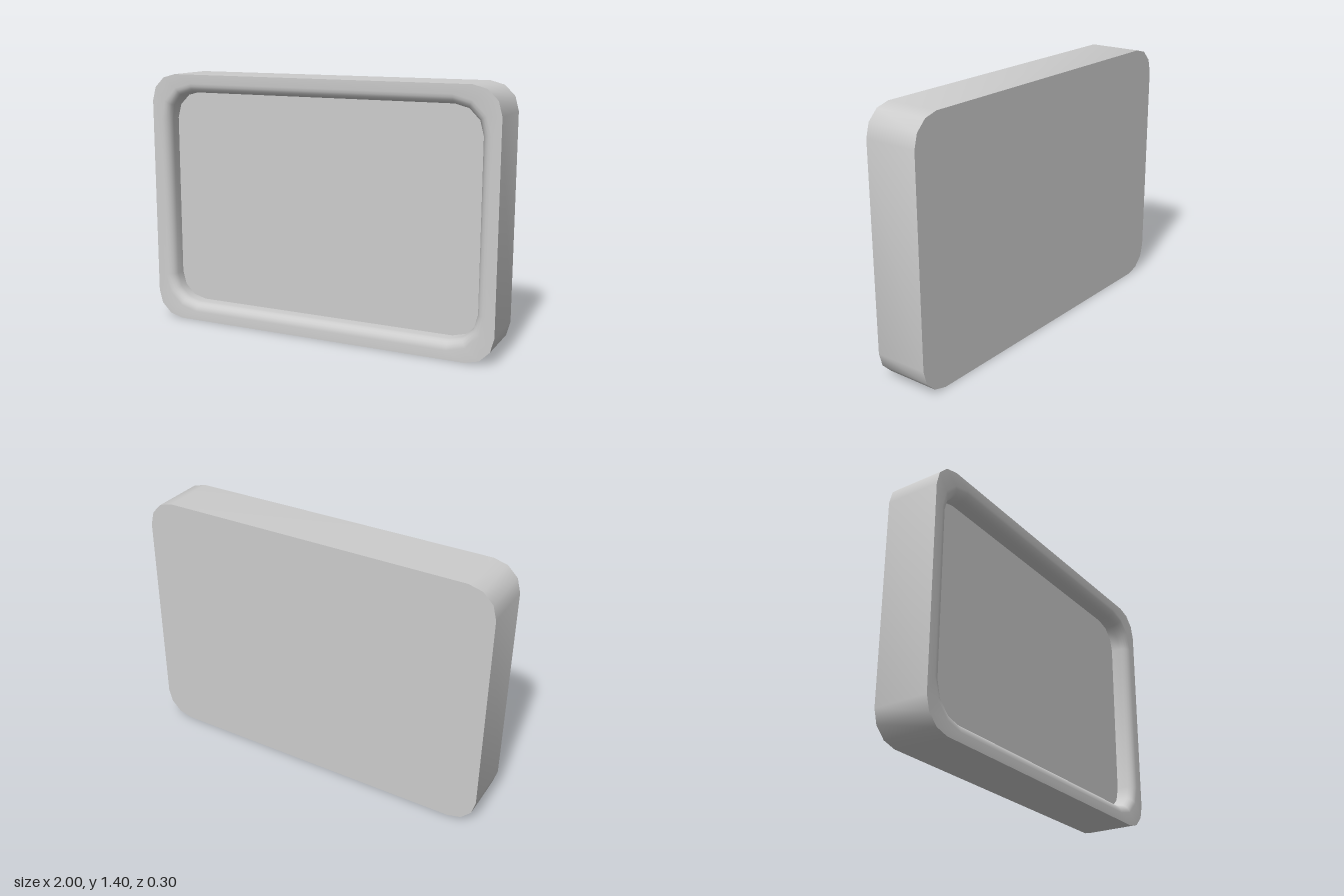
import * as THREE from 'three';
import { toCreasedNormals } from 'three/addons/utils/BufferGeometryUtils.js';

const CENTER_Y = 0.7, HALF_W = 1, HALF_H = 0.7, HALF_D = 0.15;
const CORNER = 0.15, BORDER = 0.1, BEVEL = 0.05, RECESS = 0.1;
const CORNER_STEPS = 3;

// Rounded rectangle, counter-clockwise from the front, shrunk by inset
function outline(inset, radius) {
  const points = [];
  const cx = HALF_W - inset - radius, cy = HALF_H - inset - radius;
  [[1, 1], [-1, 1], [-1, -1], [1, -1]].forEach(([sx, sy], quarter) => {
    for (let i = 0; i <= CORNER_STEPS; i++) {
      const a = (quarter + i / CORNER_STEPS) * Math.PI / 2;
      points.push(new THREE.Vector2(
        sx * cx + radius * Math.cos(a), CENTER_Y + sy * cy + radius * Math.sin(a)));
    }
  });
  return points;
}

// Skin a list of rings { points, z } with quads, smooth except at sharp edges
function loft(rings) {
  const n = rings[0].points.length, positions = [], index = [];
  rings.forEach(({ points, z }) => points.forEach(p => positions.push(p.x, p.y, z)));
  for (let r = 0; r < rings.length - 1; r++) {
    for (let i = 0; i < n; i++) {
      const j = (i + 1) % n;
      const a = r * n + i, b = r * n + j, c = b + n, d = a + n;
      index.push(a, b, c, a, c, d);
    }
  }
  const geometry = new THREE.BufferGeometry();
  geometry.setAttribute('position', new THREE.Float32BufferAttribute(positions, 3));
  geometry.setIndex(index);
  return toCreasedNormals(geometry, 0.6);
}

export function createModel() {
  const group = new THREE.Group();
  const grey = new THREE.MeshStandardMaterial({ color: 0xcccccc });
  grey.name = 'light grey';

  const add = (name, geometry) => {
    const mesh = new THREE.Mesh(geometry, grey);
    mesh.name = name;
    group.add(mesh);
    return mesh;
  };

  const outer = outline(0, CORNER), inner = outline(BORDER, CORNER);

  // Outer side walls
  add('sideWalls', loft([{ points: outer, z: -HALF_D }, { points: outer, z: HALF_D }]));

  // Front border, rounding over into the recess wall
  const rim = [{ points: outer, z: HALF_D }];
  const bevelSteps = 5;
  for (let i = 0; i <= bevelSteps; i++) {
    const a = i / bevelSteps * Math.PI / 2;
    const grow = BEVEL * (1 - Math.sin(a));
    rim.push({
      points: outline(BORDER - grow, CORNER + grow),
      z: HALF_D - BEVEL * (1 - Math.cos(a)),
    });
  }
  rim.push({ points: inner, z: HALF_D - RECESS });
  add('frontRim', loft(rim));

  // Recessed front panel
  add('recessedPanel', new THREE.ShapeGeometry(new THREE.Shape(inner)))
    .position.z = HALF_D - RECESS;

  // Flat back, turned to face backwards
  const back = add('backPanel', new THREE.ShapeGeometry(new THREE.Shape(outer)));
  back.rotation.y = Math.PI;
  back.position.z = -HALF_D;

  return group;
}
